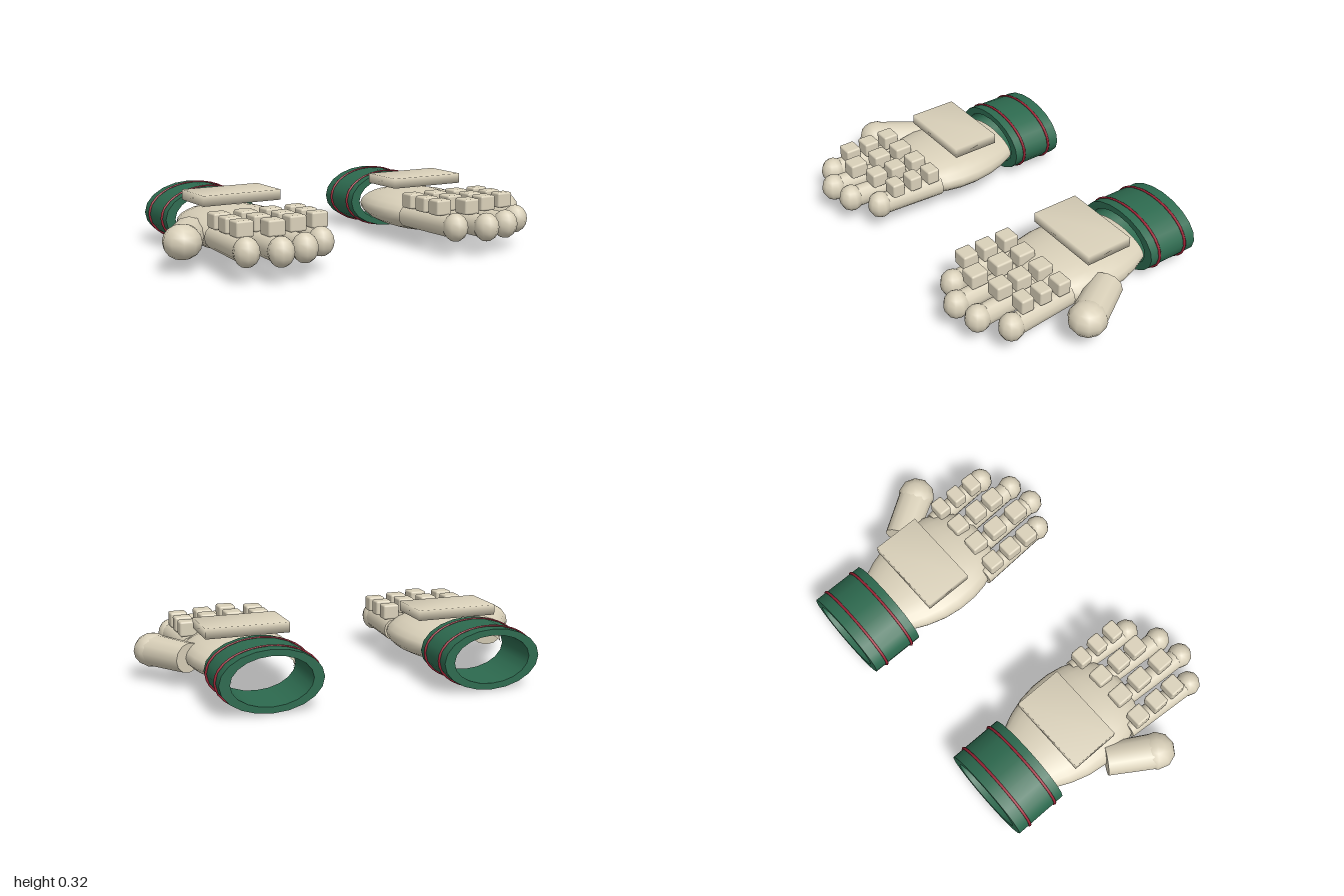
import * as THREE from 'three';
import { RoundedBoxGeometry } from 'three/addons/geometries/RoundedBoxGeometry.js';
import { mergeVertices } from 'three/addons/utils/BufferGeometryUtils.js';

const ivory = new THREE.MeshStandardMaterial({ name: 'ivory', color: 0xd9d0b9 });
const green = new THREE.MeshStandardMaterial({ name: 'green', color: 0x2d6a4f });
const red = new THREE.MeshStandardMaterial({ name: 'red', color: 0x9b2335 });

function add(parent, name, geometry, material, x = 0, y = 0, z = 0) {
  const mesh = new THREE.Mesh(geometry, material);
  mesh.name = name;
  mesh.position.set(x, y, z);
  parent.add(mesh);
  return mesh;
}

// Lathe along z from [radius, z] pairs, squashed in y
function latheZ(profile, segments, flatten) {
  const points = profile.map(([r, z]) => new THREE.Vector2(r, z));
  return new THREE.LatheGeometry(points, segments).rotateX(Math.PI / 2).scale(1, flatten, 1);
}

// Flattened tube in the xz plane with a rounded tip
function digit(parent, name, from, to, r0, r1, tipRadius, flatten) {
  const group = new THREE.Group();
  group.name = name;
  const dx = to[0] - from[0], dz = to[1] - from[1];
  const tube = new THREE.CylinderGeometry(r1, r0, Math.hypot(dx, dz), 12).rotateX(Math.PI / 2).scale(1, flatten, 1);
  const body = add(group, name + 'Tube', tube, ivory, (from[0] + to[0]) / 2, 0.145, (from[1] + to[1]) / 2);
  body.rotation.y = Math.atan2(dx, dz);
  const tip = new THREE.SphereGeometry(tipRadius, 10, 8).scale(1, flatten, 1);
  add(group, name + 'Tip', tip, ivory, to[0], 0.145, to[1]);
  parent.add(group);
}

// Box with shared corner normals for soft shading
function softBox(w, h, d) {
  const box = new THREE.BoxGeometry(w, h, d);
  box.deleteAttribute('normal');
  box.deleteAttribute('uv');
  const merged = mergeVertices(box);
  merged.computeVertexNormals();
  return merged;
}

// x offset, tip z, block length, block centre z values
const FINGERS = [
  { x: -0.202, tip: 0.48, size: 0.08, blocks: [0.16, 0.275, 0.385] },
  { x: -0.07, tip: 0.55, size: 0.09, blocks: [0.165, 0.29, 0.428] },
  { x: 0.062, tip: 0.525, size: 0.083, blocks: [0.16, 0.278, 0.385] },
  { x: 0.195, tip: 0.437, size: 0.067, blocks: [0.155, 0.257, 0.358] },
];

function makeGlove(side) {
  const glove = new THREE.Group();
  glove.name = side > 0 ? 'leftGlove' : 'rightGlove';
  glove.position.x = side * 0.533;

  // Palm, open at the wrist
  const palm = latheZ([[0.185, -0.36], [0.222, -0.28], [0.25, -0.19], [0.262, -0.1], [0.26, -0.01],
    [0.245, 0.07], [0.215, 0.14], [0.165, 0.2], [0.09, 0.235], [0, 0.245]], 24, 0.395);
  add(glove, 'palm', palm, ivory, 0, 0.147, 0);

  // Hollow cuff; doubled points keep its rims sharp
  const cuff = latheZ([[0.192, -0.628], [0.242, -0.628], [0.242, -0.628], [0.242, -0.358], [0.242, -0.358],
    [0.192, -0.358], [0.192, -0.358], [0.192, -0.628]], 20, 0.6);
  add(glove, 'cuff', cuff, green, 0, 0.155, 0);
  for (const z of [-0.565, -0.408]) {
    add(glove, 'cuffBand', new THREE.TorusGeometry(0.243, 0.007, 6, 32).scale(1, 0.605, 1), red, 0, 0.155, z);
  }

  // Plate on the back of the hand
  add(glove, 'backPlate', softBox(0.405, 0.05, 0.243), ivory, 0, 0.295, -0.125);

  // Fingers lean slightly towards the thumb side
  for (const f of FINGERS) {
    digit(glove, 'finger', [f.x, 0.1], [f.x + side * 0.025, f.tip], 0.047, 0.05, 0.061, 1.14);
    for (const z of f.blocks) {
      add(glove, 'knuckleBlock', new RoundedBoxGeometry(0.085, 0.075, f.size, 2, 0.01), ivory, f.x, 0.233, z);
    }
  }

  // Thumb on the outer side
  digit(glove, 'thumb', [side * 0.243, -0.08], [side * 0.372, 0.13], 0.082, 0.088, 0.093, 0.88);
  return glove;
}

export function createModel() {
  const model = new THREE.Group();
  model.name = 'glovePair';
  model.add(makeGlove(1), makeGlove(-1));
  return model;
}
